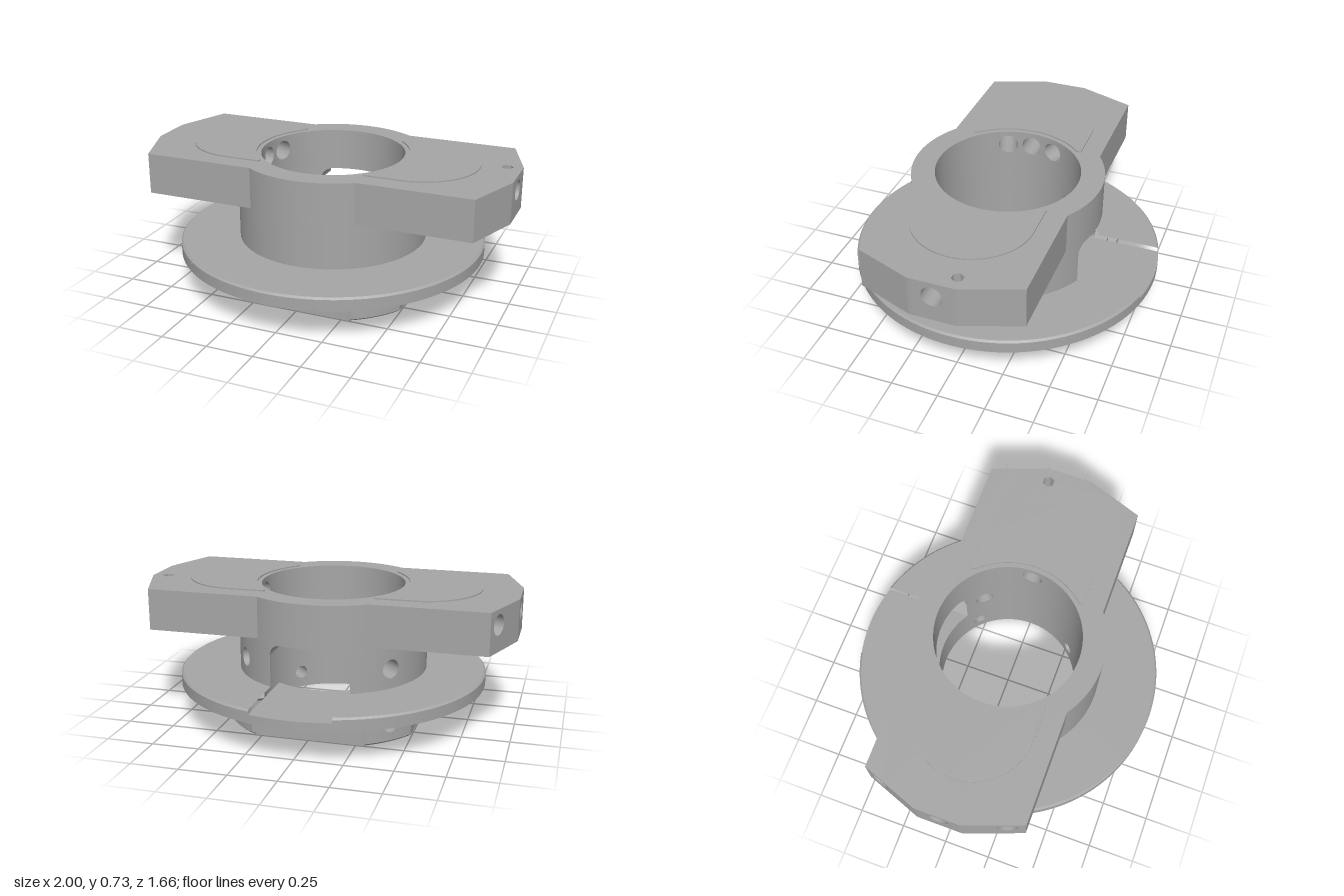
import * as THREE from 'three';
import { toCreasedNormals } from 'three/addons/utils/BufferGeometryUtils.js';

const BORE = 0.385, HUB = 0.51, FLANGE = 0.83, SLOT = 0.21;
const Y = { base: 0.19, floor: 0.235, flange: 0.26, arm: 0.5, top: 0.72, pad: 0.727 };
const rad = THREE.MathUtils.degToRad, deg = THREE.MathUtils.radToDeg;

// Polar point: angle 0 is +x, 90 degrees is the back (-z)
const polar = (r, a, y) => [r * Math.cos(rad(a)), y, -r * Math.sin(rad(a))];
const round = r => () => r;

// Base section: a disc trimmed by a square
const baseRadius = R => a => Math.min(R, 0.495 / Math.max(Math.abs(Math.cos(rad(a))), Math.abs(Math.sin(rad(a)))));
// Upper section: the hub joined with a bar that has clipped corners
const armRadius = a => {
  const c = Math.abs(Math.cos(rad(a))) + 1e-9, s = Math.abs(Math.sin(rad(a))) + 1e-9;
  return Math.max(HUB, Math.min(1 / c, 0.42 / s, 0.3132 / (0.3 * c + 0.11 * s)));
};

// Corner angles repeated in every quadrant, so that edges stay crisp
const mirrorAngles = list => list.flatMap(b => [b - 360, -180 - b, b - 180, -b, b, 180 - b, 180 + b, 360 - b, 360 + b]);
const baseEdge = R => deg(Math.acos(0.495 / R));
const BASE_BREAKS = mirrorAngles([0.58, 0.57].flatMap(R => [baseEdge(R), 90 - baseEdge(R)]));
const ARM_BREAKS = mirrorAngles([deg(Math.atan2(0.12, 1)), deg(Math.atan2(0.42, 0.89)), deg(Math.asin(0.42 / HUB))]);

function angles(a0, a1, breaks = []) {
  const n = Math.max(1, Math.round((a1 - a0) / 2.5));
  const list = Array.from({ length: n + 1 }, (_, i) => a0 + (a1 - a0) * i / n);
  return list.concat(breaks.filter(b => b > a0 + 0.01 && b < a1 - 0.01)).sort((p, q) => p - q);
}
const arc = (rFn, y, list) => list.map(a => polar(rFn(a), a, y));

// Surface between two rows of points
function strip(out, A, B, flip = false) {
  const tri = (p, q, r) => flip ? out.push(...p, ...r, ...q) : out.push(...p, ...q, ...r);
  for (let i = 0; i < A.length - 1; i++) {
    tri(A[i], A[i + 1], B[i + 1]);
    tri(A[i], B[i + 1], B[i]);
  }
}

// Rim of a radial drilling, as [angle, y] on the wall rFn
function rim(rFn, h) {
  return Array.from({ length: 33 }, (_, i) => {
    const th = rad(-135 + 360 * i / 32), t = h.r * Math.cos(th);
    let a = h.a;
    for (let k = 0; k < 8; k++) a = h.a + deg(Math.asin(t / rFn(a)));
    return [a, h.y + h.r * Math.sin(th)];
  });
}
const onWall = (rFn, list) => list.map(([a, y]) => polar(rFn(a), a, y));

// Upright wall from angle a0 to a1, pierced by drillings with patches w degrees wide each way
function wall(out, rFn, y0, y1, a0, a1, { breaks = [], holes = [], w = 5, flip = false } = {}) {
  const plain = (p, q) => {
    const list = angles(p, q, breaks);
    strip(out, arc(rFn, y0, list), arc(rFn, y1, list), flip);
  };
  let from = a0;
  for (const h of holes) {
    if (h.a - w > from + 0.01) plain(from, h.a - w);
    const inner = rim(rFn, h);
    const box = inner.map((_, i) => {
      const side = Math.floor(i / 8) % 4, t = (i % 8) / 8;
      const u = [t, 1, 1 - t, 0][side], v = [0, t, 1, 1 - t][side];
      return [h.a - w + 2 * w * u, y0 + (y1 - y0) * v];
    });
    const ring = k => onWall(rFn, box.map((b, i) => [0, 1].map(j => b[j] + (inner[i][j] - b[j]) * k)));
    for (let k = 0; k < 4; k++) strip(out, ring(k / 4), ring((k + 1) / 4), flip);
    from = h.a + w;
  }
  if (a1 > from + 0.01) plain(from, a1);
}
const tunnels = (out, rFn, holes) =>
  holes.forEach(h => strip(out, onWall(rFn, rim(rFn, h)), onWall(round(BORE), rim(round(BORE), h))));

export function createModel() {
  const group = new THREE.Group();
  const grey = new THREE.MeshStandardMaterial({ color: 0xa6a6a6 });
  grey.name = 'machinedGrey';
  const add = (name, geometry) => {
    const mesh = new THREE.Mesh(geometry, grey);
    mesh.name = name;
    group.add(mesh);
    return mesh;
  };
  const addFaces = (name, out) => {
    const g = new THREE.BufferGeometry();
    g.setAttribute('position', new THREE.Float32BufferAttribute(out, 3));
    add(name, toCreasedNormals(g, rad(25)));
  };

  // Radial drillings at each level
  const baseHoles = [45, 135, 225, 315].map(a => ({ a, y: 0.09, r: 0.037 }));
  const hubHoles = [140, 400].map(a => ({ a, y: 0.365, r: 0.05 }));
  const armHoles = [0, 160, 180, 200].map(a => ({ a, y: 0.64, r: 0.054 }));

  // Rear slot: flat sides at x = +-SLOT, rounded upper corners
  const slotAngle = r => deg(Math.acos(SLOT / r));
  const xs = Array.from({ length: 41 }, (_, i) => SLOT * Math.cos(Math.PI * i / 40));
  const slotTop = x => 0.43 + Math.sqrt(Math.max(0, 0.0036 - Math.max(0, Math.abs(x) - 0.15) ** 2));
  const slotRow = (r, yFn) => xs.map(x => [x, yFn(x), -Math.sqrt(r * r - x * x)]);
  const slotless = r => [180 - slotAngle(r), 360 + slotAngle(r)];
  const slottedArc = (r, y) => arc(round(r), y, angles(0, 360).map(t => {
    const [p, q] = slotless(r);
    return p + (q - p) * t / 360;
  }));

  // Base with four flats and a small lower chamfer
  const base = [], full = angles(0, 360, BASE_BREAKS);
  wall(base, baseRadius(0.58), 0.01, Y.base, 0, 360, { breaks: BASE_BREAKS, holes: baseHoles });
  strip(base, arc(baseRadius(0.57), 0, full), arc(baseRadius(0.58), 0.01, full));
  strip(base, arc(baseRadius(0.57), 0, full), arc(round(BORE), 0, full), true);
  tunnels(base, baseRadius(0.58), baseHoles);
  addFaces('base', base);

  // Flange with a groove at the back
  const flange = [];
  strip(flange, arc(round(FLANGE), Y.base, full), arc(baseRadius(0.58), Y.base, full), true);
  wall(flange, round(FLANGE), Y.base, Y.floor, 0, 360);
  strip(flange, slottedArc(FLANGE, Y.floor), slottedArc(FLANGE, 0.25));
  strip(flange, slottedArc(FLANGE, 0.25), slottedArc(0.82, Y.flange));
  strip(flange, slottedArc(0.82, Y.flange), slottedArc(HUB, Y.flange));
  strip(flange, slotRow(FLANGE, () => Y.floor), slotRow(BORE, () => Y.floor));
  addFaces('flange', flange);

  // Hub wall with the rear window
  const hub = [];
  wall(hub, round(HUB), Y.flange, Y.arm, ...slotless(HUB), { holes: hubHoles, w: 8 });
  strip(hub, slotRow(HUB, slotTop), slotRow(HUB, () => Y.arm));
  strip(hub, slotRow(HUB, slotTop), slotRow(BORE, slotTop), true);
  for (const s of [1, -1]) {
    const side = (r0, r1, y1) => {
      const row = y => [r0, r1].map(r => [s * SLOT, y, -Math.sqrt(r * r - SLOT * SLOT)]);
      strip(hub, row(Y.floor), row(y1), s < 0);
    };
    side(BORE, HUB, 0.43);
    side(HUB, 0.825, Y.flange);
  }
  tunnels(hub, round(HUB), hubHoles);
  addFaces('hub', hub);

  // Bore lining
  const bore = [];
  wall(bore, round(BORE), 0, Y.floor, 0, 360, { holes: baseHoles, w: 10, flip: true });
  wall(bore, round(BORE), Y.floor, Y.arm, ...slotless(BORE), { holes: hubHoles, w: 10, flip: true });
  strip(bore, slotRow(BORE, slotTop), slotRow(BORE, () => Y.arm), true);
  wall(bore, round(BORE), Y.arm, Y.top, -90, 270, { holes: armHoles, w: 10, flip: true });
  addFaces('bore', bore);

  // Arms: sides, underside and a small blind hole
  const arms = [], armLoop = angles(0, 360, ARM_BREAKS);
  wall(arms, armRadius, Y.arm, Y.top, -90, 270, { breaks: ARM_BREAKS, holes: armHoles });
  strip(arms, arc(armRadius, Y.arm, armLoop), arc(round(HUB), Y.arm, armLoop), true);
  tunnels(arms, armRadius, armHoles);
  const hex = y => Array.from({ length: 7 }, (_, i) => {
    const [x, , z] = polar(0.032, i * 60, 0);
    return [0.92 + x, y, -0.1 + z];
  });
  strip(arms, hex(0.62), hex(Y.top), true);
  strip(arms, hex(0.62), hex(0.62).map(() => [0.92, 0.62, -0.1]));
  addFaces('arms', arms);

  // Top face
  const flat = pts => pts.slice(0, -1).map(([x, , z]) => new THREE.Vector2(x, -z));
  const face = new THREE.Shape(flat(arc(armRadius, 0, armLoop)));
  face.holes.push(new THREE.Path(flat(arc(round(BORE), 0, angles(0, 360)))), new THREE.Path(flat(hex(0))));
  add('topFace', new THREE.ShapeGeometry(face).rotateX(-Math.PI / 2).translate(0, Y.top, 0));

  // Raised pads, one on each arm
  const pad = new THREE.Shape();
  const t = Math.acos(0.29 / 0.41);
  pad.moveTo(0.29, -0.312);
  pad.lineTo(0.488, -0.312);
  pad.absarc(0.488, 0, 0.312, -Math.PI / 2, Math.PI / 2, false);
  pad.lineTo(0.29, 0.312);
  pad.absarc(0, 0, 0.41, t, -t, true);
  pad.closePath();
  const padGeometry = new THREE.ExtrudeGeometry(pad, { depth: Y.pad - Y.top, bevelEnabled: false, curveSegments: 32 });
  padGeometry.rotateX(-Math.PI / 2).translate(0, Y.top, 0);
  add('leftPad', padGeometry);
  add('rightPad', padGeometry).rotation.y = Math.PI;

  return group;
}
